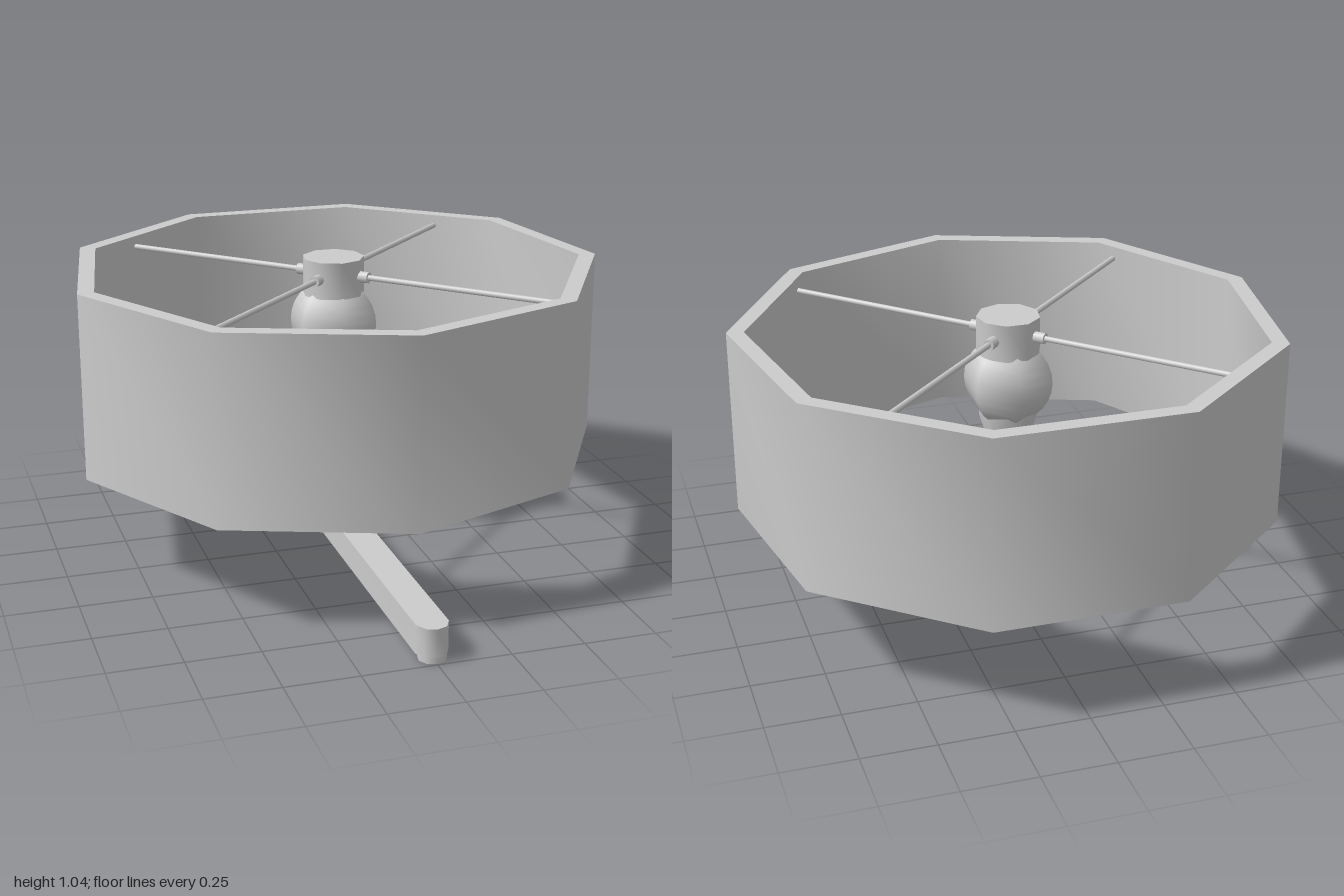
import * as THREE from 'three';
import { toCreasedNormals } from 'three/addons/utils/BufferGeometryUtils.js';

const AXIS_Z = -0.115; // vertical axis of the shade, bulb and pole

export function createModel() {
  const model = new THREE.Group();
  const material = new THREE.MeshStandardMaterial({ color: 0xcccccc });

  const add = (name, geometry, x = 0, y = 0, z = 0, parent = model) => {
    const mesh = new THREE.Mesh(geometry, material);
    mesh.name = name;
    mesh.position.set(x, y, z);
    parent.add(mesh);
    return mesh;
  };
  // Turned part: profile listed from bottom to top on the outside
  const turned = (name, profile, sides, crease = 0.9) => {
    const points = profile.map(([r, y]) => new THREE.Vector2(r, y));
    const geometry = toCreasedNormals(new THREE.LatheGeometry(points, sides), crease);
    return add(name, geometry, 0, 0, AXIS_Z);
  };
  // Plan outline [x, z] raised from y0 to y1
  const raised = (name, outline, y0, y1) => {
    const shape = new THREE.Shape(outline.map(([x, z]) => new THREE.Vector2(x, -z)));
    const geometry = new THREE.ExtrudeGeometry(shape, { depth: y1 - y0, bevelEnabled: false });
    geometry.rotateX(-Math.PI / 2);
    return add(name, toCreasedNormals(geometry, 0.9), 0, y0, 0);
  };

  // Nine-sided shade, open at both ends
  turned('shade', [[0.939, 0.37], [0.939, 1.02], [0.88, 1.02], [0.88, 0.37], [0.939, 0.37]], 9);

  // Bulb: six-sided sphere
  const bulb = [];
  for (let i = 0; i <= 14; i++) {
    const a = -Math.PI / 2 + (i / 14) * Math.PI;
    bulb.push([Math.max(0, 0.155 * Math.cos(a)), 0.805 + 0.155 * Math.sin(a)]);
  }
  turned('bulb', bulb, 6, 1.2);

  // Cap above the bulb and tapered socket below it
  turned('hubCap', [[0, 0.91], [0.109, 0.91], [0.109, 1.04], [0, 1.04]], 9);
  turned('socket', [[0, 0.56], [0.068, 0.56], [0.075, 0.6], [0.1, 0.68], [0.1, 0.73], [0, 0.73]], 9);

  // Small switch under the socket
  add('switchKnob', new THREE.CylinderGeometry(0.012, 0.012, 0.06, 8), -0.045, 0.54, -0.16);

  // Four diagonal spokes with ferrules at the hub
  const spokes = new THREE.Group();
  spokes.name = 'spokes';
  spokes.position.set(0, 0.98, AXIS_Z);
  model.add(spokes);
  for (let i = 0; i < 4; i++) {
    const spoke = new THREE.Group();
    spoke.name = 'spoke';
    spoke.rotation.y = Math.PI / 4 + (i * Math.PI) / 2;
    spokes.add(spoke);
    const rod = (name, radius, from, to) => {
      const geometry = new THREE.CylinderGeometry(radius, radius, to - from, 8);
      geometry.rotateX(Math.PI / 2);
      add(name, geometry, 0, 0, (from + to) / 2, spoke);
    };
    rod('rod', 0.01, 0.08, 0.845);
    rod('ferrule', 0.02, 0.08, 0.14);
  }

  // Upright pole: square front, rounded back
  raised('pole', [
    [0.055, -0.06], [0.055, -0.115], [0.035, -0.153], [0, -0.165],
    [-0.035, -0.153], [-0.055, -0.115], [-0.055, -0.06],
  ], 0.02, 0.58);

  // Horizontal arm with a rounded tip
  raised('arm', [
    [0.055, -0.06], [-0.055, -0.06], [-0.055, 0.945], [-0.035, 0.983],
    [0, 0.995], [0.035, 0.983], [0.055, 0.945],
  ], 0.02, 0.12);

  // Foot pad under the tip
  add('footPad', new THREE.CylinderGeometry(0.048, 0.048, 0.022, 9), 0, 0.011, 0.947);

  return model;
}
